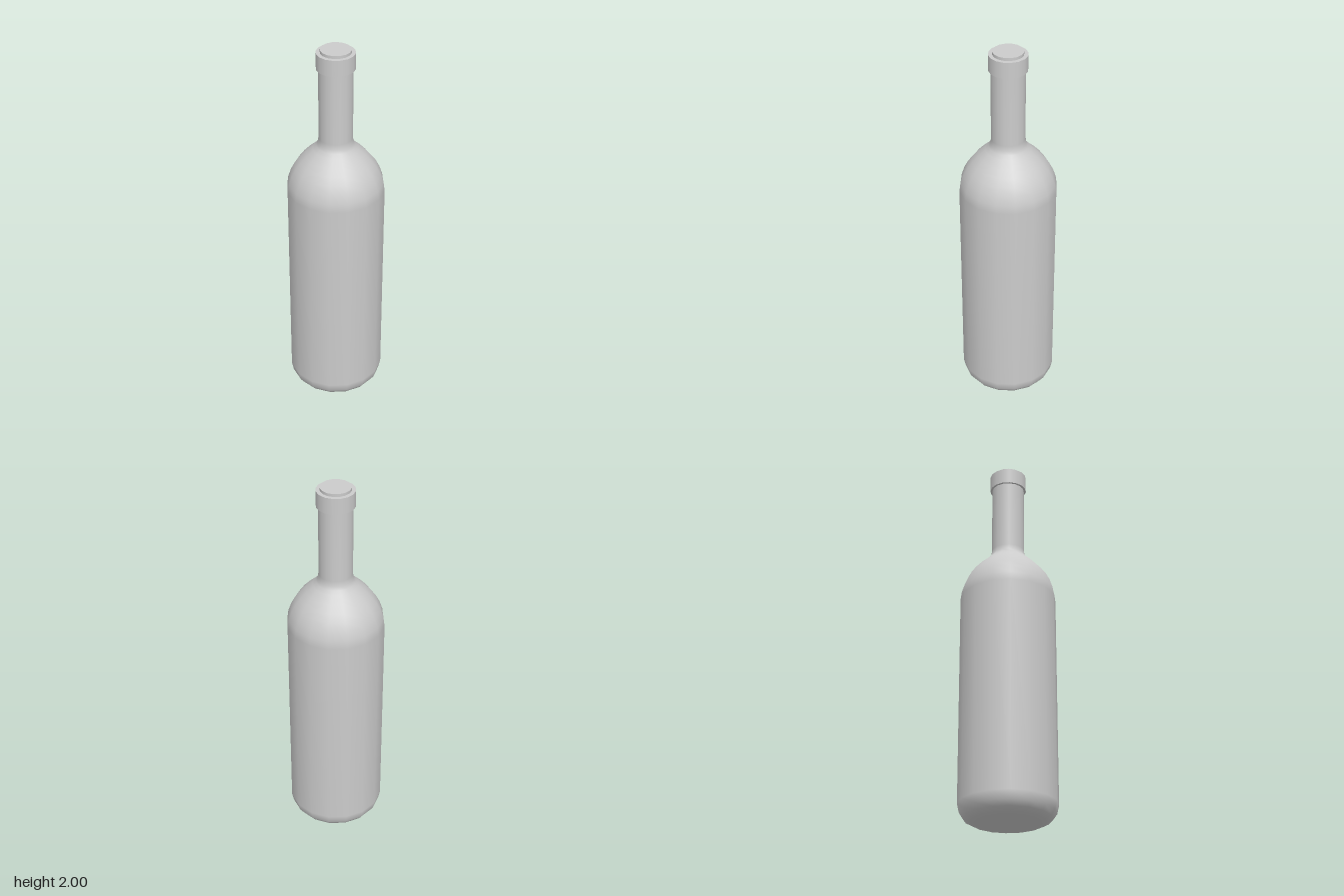
import * as THREE from 'three';

const SIDES = 16;

export function createModel() {
  const group = new THREE.Group();
  const material = new THREE.MeshStandardMaterial({ color: 0xcccccc });

  const add = (name, geometry, y = 0) => {
    const mesh = new THREE.Mesh(geometry, material);
    mesh.name = name;
    mesh.position.y = y;
    group.add(mesh);
  };
  // Sharp-edged disc standing between two heights
  const addDisc = (name, radius, bottom, top) =>
    add(name, new THREE.CylinderGeometry(radius, radius, top - bottom, SIDES), (bottom + top) / 2);

  // Body: base, rounded heel, straight wall, domed shoulder and neck
  const profile = [
    [0, 0], [0.15, 0.002], [0.19, 0.01], [0.222, 0.027], [0.242, 0.055], [0.252, 0.1],
    [0.252, 1.225], [0.246, 1.27], [0.231, 1.315], [0.21, 1.355], [0.184, 1.39],
    [0.152, 1.425], [0.117, 1.457], [0.1, 1.475], [0.091, 1.493], [0.087, 1.52], [0.087, 1.92],
  ].map(([r, y]) => new THREE.Vector2(r, y));
  add('bottleBody', new THREE.LatheGeometry(profile, SIDES));

  // Collar around the mouth, and the stopper just above it
  addDisc('collar', 0.098, 1.9, 1.985);
  addDisc('stopper', 0.078, 1.95, 2);

  return group;
}
